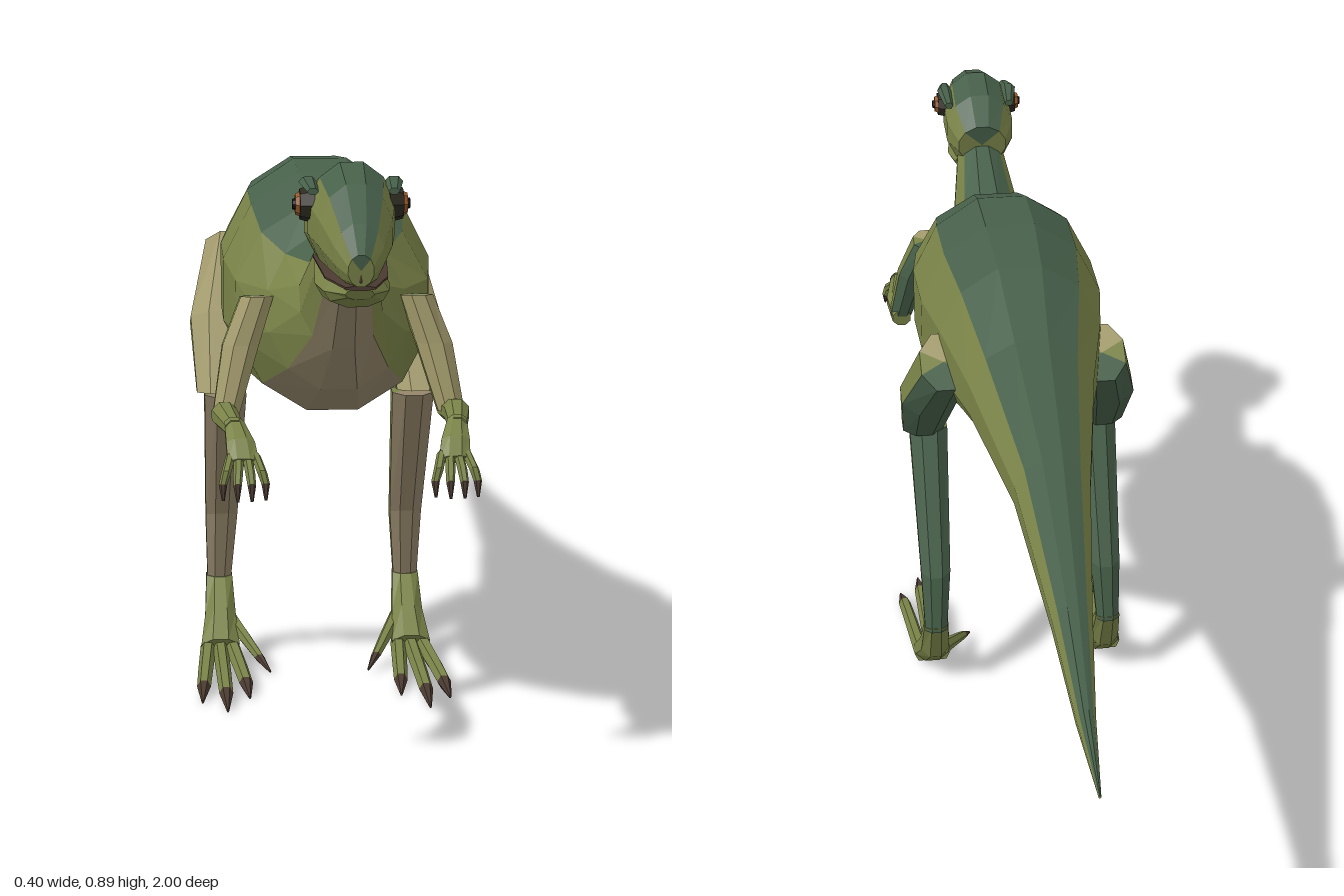
import * as THREE from 'three';

const DARK = 0x47604a, OLIVE = 0x7a8348, TAN = 0x93856a, PALE = 0xa39b6c, CLAW = 0x4a3a30;

// Lofts rings of [backZ, backY, frontZ, frontY, centreX, halfWidth]; one mesh per colour.
// Face 0 of each ring lies on the back (dorsal) side.
function loft(name, rings, sides, colorOf) {
  const group = new THREE.Group();
  group.name = name;
  const buckets = new Map();
  const point = (r, j) => {
    const [bz, by, fz, fy, x, w] = r, a = ((j - 0.5) / sides) * Math.PI * 2, c = Math.cos(a);
    return [x + w * Math.sin(a), (by + fy) / 2 + (c * (by - fy)) / 2, (bz + fz) / 2 + (c * (bz - fz)) / 2];
  };
  const centre = (r) => [r[4], (r[1] + r[3]) / 2, (r[0] + r[2]) / 2];
  const tri = (color, ...pts) => {
    if (!buckets.has(color)) buckets.set(color, []);
    buckets.get(color).push(...pts.flat());
  };
  const last = rings.length - 1;
  for (let j = 0; j < sides; j++) {
    for (let i = 0; i < last; i++) {
      const a = point(rings[i], j), b = point(rings[i], j + 1);
      const c = point(rings[i + 1], j + 1), d = point(rings[i + 1], j);
      tri(colorOf(i, j), a, b, c, a, c, d);
    }
    tri(colorOf(0, j), centre(rings[0]), point(rings[0], j + 1), point(rings[0], j));
    tri(colorOf(last - 1, j), centre(rings[last]), point(rings[last], j), point(rings[last], j + 1));
  }
  for (const [color, pos] of buckets) {
    const g = new THREE.BufferGeometry();
    g.setAttribute('position', new THREE.Float32BufferAttribute(pos, 3));
    g.computeVertexNormals();
    const mesh = new THREE.Mesh(g, new THREE.MeshStandardMaterial({ color, flatShading: true }));
    mesh.name = name + 'Skin';
    group.add(mesh);
  }
  return group;
}

// Turns path points [x, y, z, halfWidth, halfHeight] into loft rings
function pathRings(pts) {
  return pts.map(([x, y, z, w, h], i) => {
    const p = pts[Math.max(i - 1, 0)], q = pts[Math.min(i + 1, pts.length - 1)];
    const ty = q[1] - p[1], tz = q[2] - p[2], l = Math.hypot(ty, tz);
    const ny = (-tz / l) * h, nz = (ty / l) * h;
    return [z + nz, y + ny, z - nz, y - ny, x, w];
  });
}

// Colour rule: back faces, flanks, front or belly faces
const banded = (sides, back, flank, front) => (i, j) => {
  const d = Math.min(j, sides - j);
  return d <= 1 ? back : d >= sides / 2 - 1 ? front : flank;
};
const plain = (color) => () => color;
const clawed = (i) => (i === 2 ? CLAW : OLIVE);

function disc(name, r, depth, color, x, y, z, side) {
  const g = new THREE.CylinderGeometry(r * 0.8, r, depth, 8).rotateZ(-side * Math.PI / 2);
  const m = new THREE.Mesh(g, new THREE.MeshStandardMaterial({ color, flatShading: true }));
  m.name = name;
  m.position.set(side * x, y, z);
  return m;
}

function makeHead() {
  const head = new THREE.Group();
  head.name = 'head';
  head.add(loft('skull', [
    [1.0, 0.785, 0.995, 0.74, 0, 0.018],
    [0.975, 0.825, 0.97, 0.735, 0, 0.035],
    [0.92, 0.873, 0.92, 0.735, 0, 0.052],
    [0.85, 0.897, 0.85, 0.735, 0, 0.063],
    [0.78, 0.88, 0.785, 0.735, 0, 0.063],
    [0.735, 0.835, 0.75, 0.755, 0, 0.045],
  ], 12, banded(12, DARK, OLIVE, OLIVE)));
  head.add(loft('jaw', [
    [0.985, 0.737, 0.975, 0.72, 0, 0.02],
    [0.93, 0.75, 0.935, 0.703, 0, 0.045],
    [0.86, 0.757, 0.87, 0.698, 0, 0.052],
    [0.78, 0.77, 0.79, 0.72, 0, 0.047],
  ], 10, plain(OLIVE)));
  head.add(loft('mouthLine', [
    [0.993, 0.742, 0.993, 0.735, 0, 0.022],
    [0.93, 0.748, 0.93, 0.741, 0, 0.047],
    [0.82, 0.763, 0.82, 0.757, 0, 0.056],
  ], 8, plain(CLAW)));
  const nose = new THREE.Mesh(new THREE.IcosahedronGeometry(0.02, 0),
    new THREE.MeshStandardMaterial({ color: 0x5a4636, flatShading: true }));
  nose.name = 'noseTip';
  nose.position.set(0, 0.757, 0.98);
  head.add(nose);
  for (const s of [1, -1]) {
    head.add(disc('eyeRim', 0.027, 0.02, 0x2c2a20, 0.062, 0.836, 0.847, s));
    head.add(disc('iris', 0.018, 0.008, 0x9a5a28, 0.074, 0.836, 0.847, s));
    head.add(disc('pupil', 0.009, 0.006, 0x15120e, 0.079, 0.836, 0.847, s));
    const brow = loft('brow', [
      [0.885, 0.862, 0.885, 0.852, s * 0.056, 0.008],
      [0.84, 0.874, 0.84, 0.858, s * 0.06, 0.013],
      [0.79, 0.862, 0.79, 0.85, s * 0.056, 0.008],
    ], 6, plain(DARK));
    head.add(brow);
  }
  return head;
}

function makeLeg(s) {
  const leg = new THREE.Group();
  leg.name = s > 0 ? 'leftLeg' : 'rightLeg';
  leg.add(loft('thigh', [
    [0.068, 0.652, 0.17, 0.715, s * 0.135, 0.042],
    [0.16, 0.555, 0.25, 0.595, s * 0.154, 0.052],
    [0.245, 0.468, 0.32, 0.472, s * 0.16, 0.038],
  ], 8, banded(8, DARK, OLIVE, PALE)));
  leg.add(loft('shin', [
    [0.25, 0.472, 0.322, 0.465, s * 0.15, 0.036],
    [0.14, 0.235, 0.197, 0.25, s * 0.152, 0.028],
    [0.125, 0.13, 0.16, 0.13, s * 0.155, 0.021],
  ], 8, banded(8, DARK, OLIVE, TAN)));
  leg.add(loft('foot', [
    [0.125, 0.138, 0.163, 0.134, s * 0.155, 0.023],
    [0.157, 0.055, 0.203, 0.092, s * 0.155, 0.027],
    [0.21, 0.012, 0.24, 0.05, s * 0.157, 0.034],
  ], 8, plain(OLIVE)));
  // three front toes and an inner one
  for (const [bx, tx, tz] of [[0.138, 0.12, 0.43], [0.157, 0.158, 0.5], [0.176, 0.195, 0.45]]) {
    const at = (k, y, w, h) => [s * (bx + (tx - bx) * k), y, 0.21 + (tz - 0.21) * k, w, h];
    leg.add(loft('toe', pathRings([
      at(0, 0.03, 0.013, 0.016), at(0.5, 0.024, 0.012, 0.012),
      at(0.8, 0.017, 0.011, 0.012), at(1, 0.006, 0.002, 0.003),
    ]), 6, clawed));
  }
  leg.add(loft('innerToe', pathRings([
    [s * 0.14, 0.07, 0.17, 0.012, 0.014], [s * 0.118, 0.048, 0.22, 0.011, 0.011],
    [s * 0.095, 0.025, 0.27, 0.008, 0.008], [s * 0.08, 0.01, 0.3, 0.002, 0.002],
  ]), 6, clawed));
  return leg;
}

function makeArm(s) {
  const arm = new THREE.Group();
  arm.name = s > 0 ? 'leftArm' : 'rightArm';
  arm.add(loft('upperArm', [
    [0.575, 0.668, 0.645, 0.676, s * 0.118, 0.026],
    [0.595, 0.6, 0.655, 0.605, s * 0.143, 0.029],
    [0.63, 0.5, 0.675, 0.508, s * 0.166, 0.021],
  ], 8, banded(8, DARK, OLIVE, PALE)));
  arm.add(loft('forearm', pathRings([
    [s * 0.166, 0.503, 0.63, 0.018, 0.017], [s * 0.17, 0.51, 0.69, 0.02, 0.02],
    [s * 0.16, 0.508, 0.785, 0.014, 0.013],
  ]), 8, plain(OLIVE)));
  arm.add(loft('palm', pathRings([
    [s * 0.16, 0.512, 0.77, 0.015, 0.014], [s * 0.153, 0.49, 0.81, 0.022, 0.014],
    [s * 0.15, 0.468, 0.83, 0.024, 0.011],
  ]), 8, plain(OLIVE)));
  for (let f = 0; f < 4; f++) {
    const k = f - 1.5, tipZ = 0.875 - Math.abs(k) * 0.01;
    arm.add(loft('finger', pathRings([
      [s * (0.15 + k * 0.012), 0.475, 0.823, 0.007, 0.008],
      [s * (0.15 + k * 0.017), 0.457, 0.85, 0.007, 0.008],
      [s * (0.15 + k * 0.02), 0.442, tipZ - 0.007, 0.006, 0.007],
      [s * (0.15 + k * 0.02), 0.42, tipZ, 0.002, 0.002],
    ]), 6, clawed));
  }
  return arm;
}

export function createModel() {
  const model = new THREE.Group();
  model.name = 'bipedalReptile';
  // neck, trunk and tail in one skin; the tail drifts slightly to its left
  model.add(loft('body', [
    [0.755, 0.8, 0.82, 0.715, 0, 0.043],
    [0.635, 0.747, 0.735, 0.61, 0, 0.062],
    [0.575, 0.765, 0.655, 0.535, 0, 0.105],
    [0.525, 0.803, 0.545, 0.482, 0, 0.15],
    [0.43, 0.842, 0.42, 0.468, 0, 0.164],
    [0.3, 0.85, 0.29, 0.474, 0, 0.162],
    [0.16, 0.838, 0.15, 0.525, 0, 0.142],
    [0, 0.78, 0, 0.568, 0, 0.108],
    [-0.28, 0.718, -0.28, 0.593, 0.002, 0.063],
    [-0.6, 0.655, -0.6, 0.585, 0.014, 0.032],
    [-0.82, 0.618, -0.82, 0.579, 0.024, 0.015],
    [-1, 0.602, -1, 0.597, 0.03, 0.002],
  ], 12, banded(12, DARK, OLIVE, TAN)));
  model.add(makeHead());
  for (const s of [1, -1]) model.add(makeLeg(s), makeArm(s));
  return model;
}
